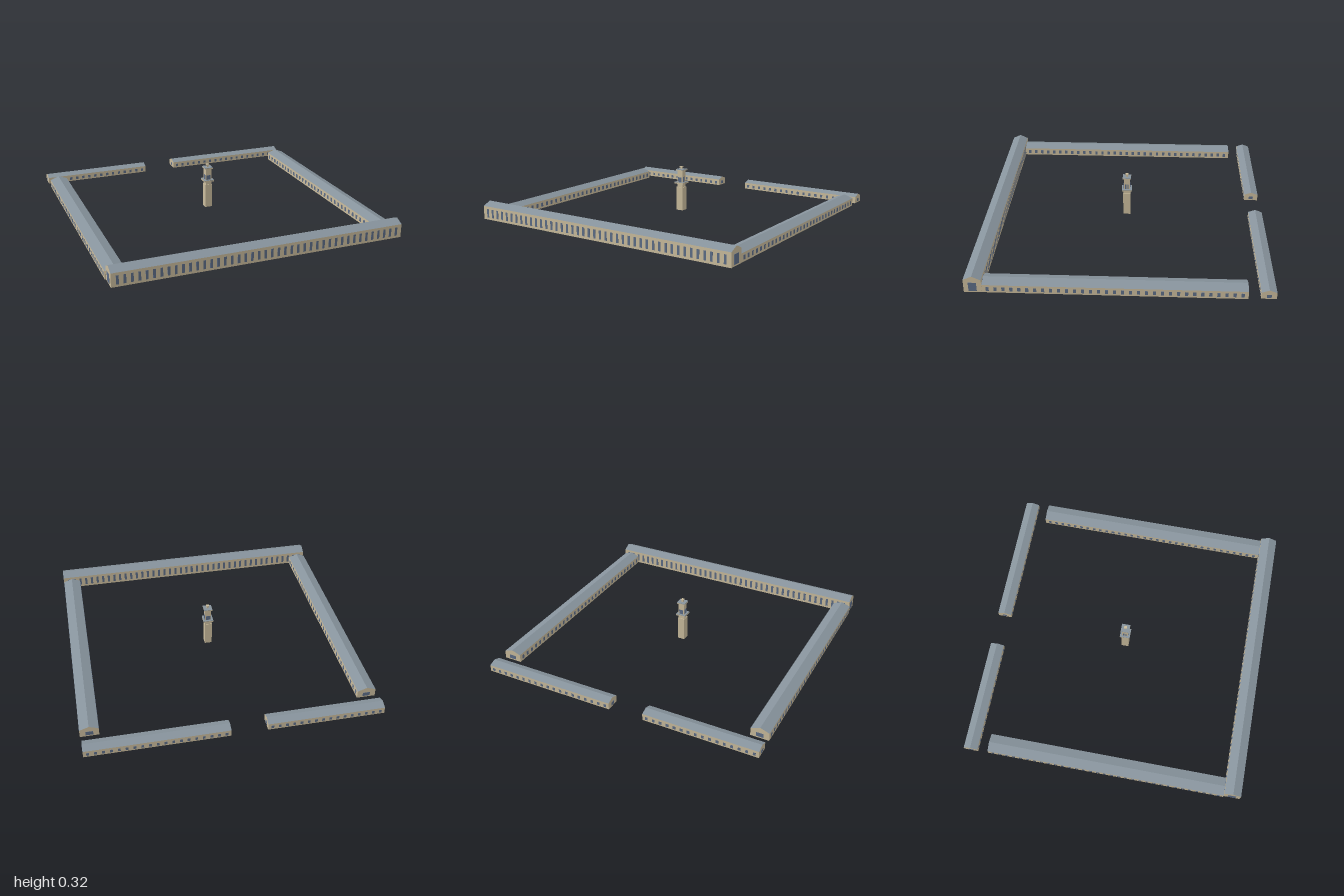
import * as THREE from 'three';
import { mergeGeometries } from 'three/addons/utils/BufferGeometryUtils.js';

const material = (name, color, side = THREE.FrontSide) => {
  const m = new THREE.MeshStandardMaterial({ color, side });
  m.name = name;
  return m;
};

export function createModel() {
  const wall = material('sandstone', 0xc9bb9c, THREE.DoubleSide);
  const roof = material('slate', 0x87939c, THREE.DoubleSide);
  const glass = material('window blue', 0x5c6c86);

  const model = new THREE.Group();
  model.name = 'courtyardComplex';

  const add = (parent, name, geometry, mat) => {
    const mesh = new THREE.Mesh(geometry, mat);
    mesh.name = name;
    parent.add(mesh);
    return mesh;
  };
  const box = (w, h, d, x, y, z) => new THREE.BoxGeometry(w, h, d).translate(x, y, z);

  // Flat sheet running along x between two points of the (z, y) cross-section
  const sheet = (length, [z0, y0], [z1, y1]) => {
    const h = length / 2;
    const g = new THREE.BufferGeometry();
    g.setAttribute('position', new THREE.Float32BufferAttribute(
      [-h, y0, z0, h, y0, z0, h, y1, z1, -h, y0, z0, h, y1, z1, -h, y1, z1], 3));
    g.computeVertexNormals();
    return g;
  };

  // Long gabled hall along x with rows of windows and one window in each gable
  function hall({ name, length, width, eave, ridge, count, inset, win, gableWin, floor }) {
    const group = new THREE.Group();
    group.name = name;
    const w = width / 2;
    const h = length / 2;

    add(group, 'frontWall', sheet(length, [w, 0], [w, eave]), wall);
    add(group, 'backWall', sheet(length, [-w, eave], [-w, 0]), wall);
    add(group, 'frontRoof', sheet(length, [w, eave], [0, ridge]), roof);
    add(group, 'backRoof', sheet(length, [0, ridge], [-w, eave]), roof);
    if (floor) add(group, 'floor', sheet(length, [-w, 0], [w, 0]), wall);

    const gable = new THREE.Shape([[-w, 0], [w, 0], [w, eave], [0, ridge], [-w, eave]]
      .map(([x, y]) => new THREE.Vector2(x, y)));
    const panes = [];
    for (const s of [-1, 1]) {
      add(group, 'gable', new THREE.ShapeGeometry(gable).rotateY(s * Math.PI / 2).translate(s * h, 0, 0), wall);
      panes.push(box(0.003, gableWin.y1 - gableWin.y0, gableWin.w, s * h, (gableWin.y0 + gableWin.y1) / 2, 0));
      for (let i = 0; i < count; i++) {
        const x = -h + inset + (length - 2 * inset) * i / (count - 1);
        panes.push(box(win.w, win.y1 - win.y0, 0.003, x, (win.y0 + win.y1) / 2, s * w));
      }
    }
    add(group, 'windows', mergeGeometries(panes), glass);
    model.add(group);
    return group;
  }

  // Tall front hall
  hall({
    name: 'frontHall', length: 1.99, width: 0.115, eave: 0.093, ridge: 0.12, count: 43, inset: 0.04,
    win: { w: 0.017, y0: 0.016, y1: 0.075 }, gableWin: { w: 0.053, y0: 0.01, y1: 0.073 }, floor: true,
  }).position.set(0.004, 0, 0.929);

  // Mirrored side wings
  for (const s of [-1, 1]) {
    const wing = hall({
      name: s > 0 ? 'leftWing' : 'rightWing', length: 1.682, width: 0.126, eave: 0.056, ridge: 0.079,
      count: 33, inset: 0.035,
      win: { w: 0.02, y0: 0.013, y1: 0.041 }, gableWin: { w: 0.05, y0: 0.01, y1: 0.038 },
    });
    wing.rotation.y = s * Math.PI / 2;
    wing.position.set(s * 0.935, 0, 0.03);
  }

  // Low rear halls either side of the entrance gap
  for (const [name, x0, x1, z, count] of [
    ['rearLeftHall', 0.04, 0.99, -0.94, 19],
    ['rearRightHall', -1, -0.205, -0.935, 16],
  ]) {
    hall({
      name, length: x1 - x0, width: 0.098, eave: 0.047, ridge: 0.065, count, inset: 0.03,
      win: { w: 0.018, y0: 0.01, y1: 0.031 }, gableWin: { w: 0.03, y0: 0.009, y1: 0.031 },
    }).position.set((x0 + x1) / 2, 0, z);
  }

  // Central clock-style tower
  const tower = new THREE.Group();
  tower.name = 'tower';
  tower.position.set(0.001, 0, -0.008);
  model.add(tower);
  const block = (name, y0, y1, half, mat = wall) =>
    add(tower, name, box(half * 2, y1 - y0, half * 2, 0, (y0 + y1) / 2, 0), mat);
  block('lowerShaft', 0, 0.17, 0.026);
  block('middleShaft', 0.17, 0.196, 0.022);
  block('balcony', 0.196, 0.205, 0.036);
  block('balconyTop', 0.205, 0.208, 0.036, roof);
  block('upperShaft', 0.208, 0.291, 0.022);
  block('crown', 0.291, 0.298, 0.03);
  block('crownRoof', 0.298, 0.301, 0.03, roof);
  block('finial', 0.301, 0.314, 0.006);
  block('finialCap', 0.314, 0.322, 0.01);

  // Tower windows: one wide pane front and back, a pair on each flank
  const panes = [];
  for (const s of [-1, 1]) {
    panes.push(box(0.031, 0.033, 0.003, 0, 0.226, s * 0.022));
    for (const z of [-0.008, 0.008]) panes.push(box(0.003, 0.036, 0.009, s * 0.022, 0.227, z));
  }
  add(tower, 'towerWindows', mergeGeometries(panes), glass);

  return model;
}
